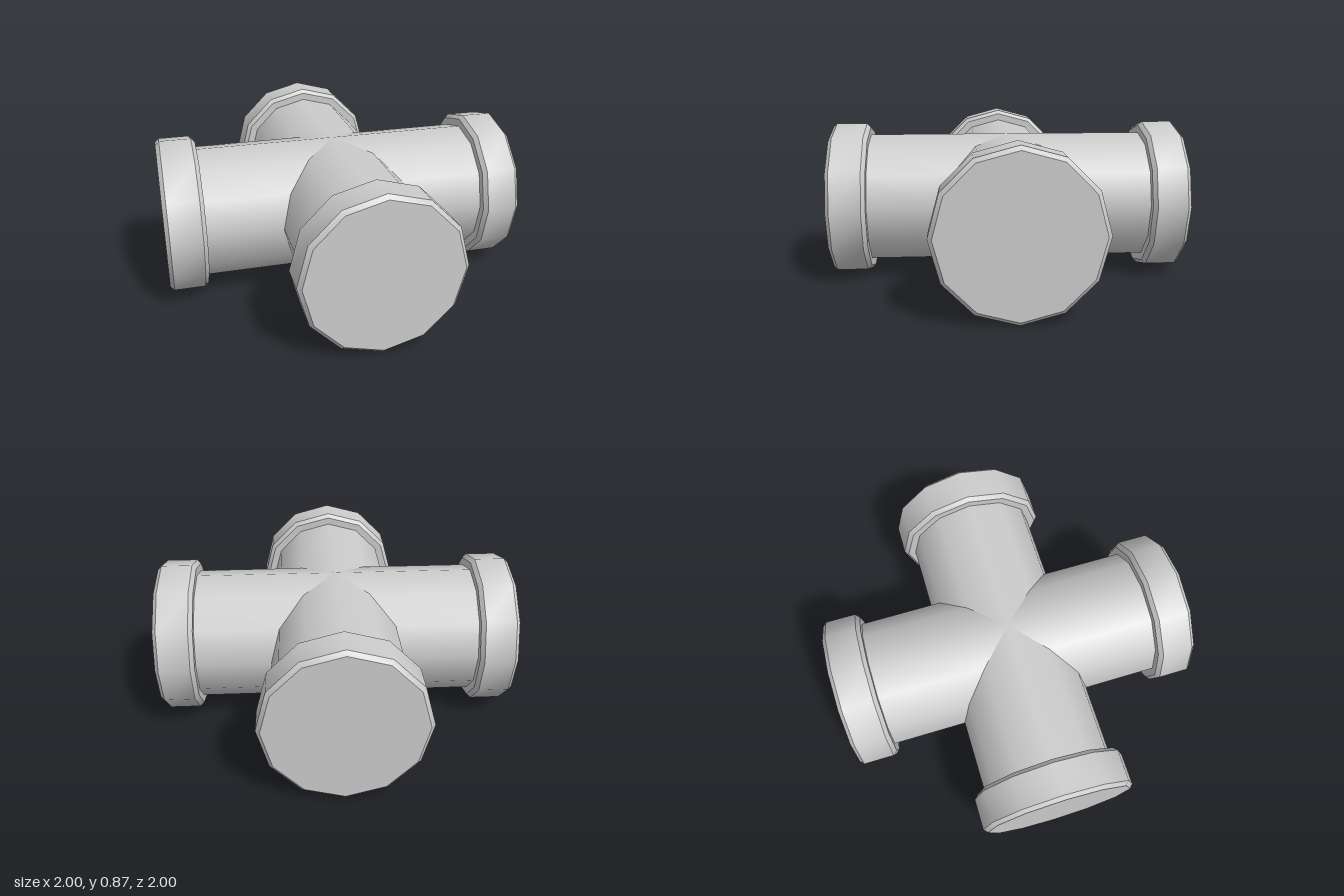
import * as THREE from 'three';
import { toCreasedNormals } from 'three/addons/utils/BufferGeometryUtils.js';

const SIDES = 12;
const PIPE_R = 0.37;
const COLLAR_R = 0.435;
const COLLAR_IN = 0.785;
const BEVEL = 0.022;

// Pipe arm along +z, its inner end mitred at 45 degrees to meet its neighbours
function armGeometry() {
  const geo = new THREE.CylinderGeometry(PIPE_R, PIPE_R, 0.8, SIDES, 1, true);
  geo.translate(0, 0.4, 0).rotateX(Math.PI / 2);
  const pos = geo.attributes.position;
  for (let i = 0; i < pos.count; i++) {
    if (pos.getZ(i) < 0.1) pos.setZ(i, Math.abs(pos.getX(i)));
  }
  return geo;
}

// Bevelled collar with a closed outer face
function collarGeometry() {
  const profile = [
    [PIPE_R - 0.01, COLLAR_IN],
    [COLLAR_R - BEVEL, COLLAR_IN],
    [COLLAR_R, COLLAR_IN + BEVEL],
    [COLLAR_R, 1 - BEVEL],
    [COLLAR_R - BEVEL, 1],
    [0, 1],
  ].map(([r, y]) => new THREE.Vector2(r, y));
  const geo = new THREE.LatheGeometry(profile, SIDES).rotateX(Math.PI / 2);
  return toCreasedNormals(geo, 0.65);
}

export function createModel() {
  const model = new THREE.Group();
  model.name = 'pipeCross';
  const material = new THREE.MeshStandardMaterial({ color: 0xcccccc });
  const arm = armGeometry();
  const collar = collarGeometry();

  // Four identical branches around the vertical axis
  ['front', 'left', 'back', 'right'].forEach((side, i) => {
    const branch = new THREE.Group();
    branch.name = side + 'Branch';
    const pipe = new THREE.Mesh(arm, material);
    pipe.name = side + 'Pipe';
    const end = new THREE.Mesh(collar, material);
    end.name = side + 'Collar';
    branch.add(pipe, end);
    branch.position.y = COLLAR_R;
    branch.rotation.y = (i * Math.PI) / 2;
    model.add(branch);
  });
  return model;
}
